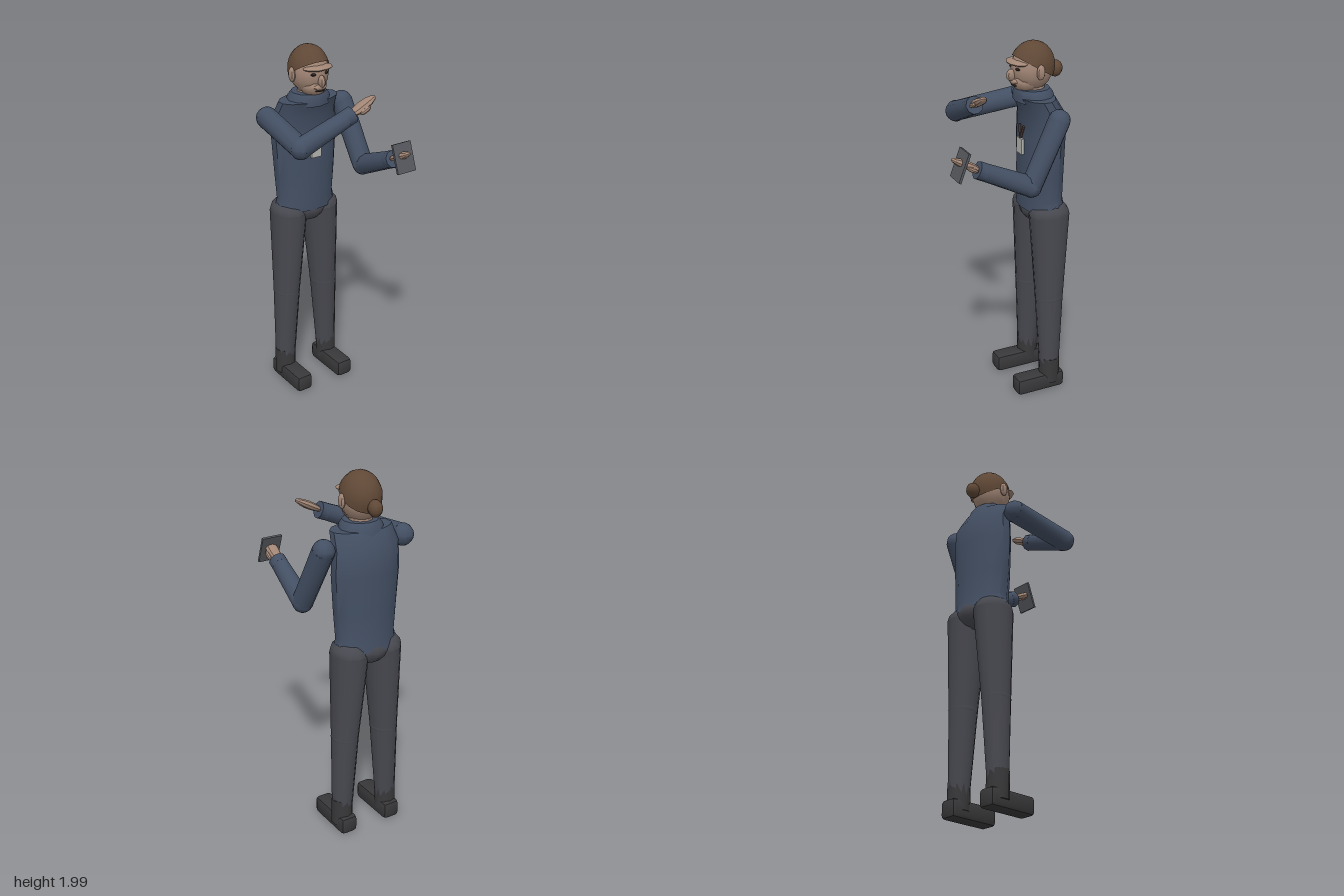
import * as THREE from 'three';
import { toCreasedNormals } from 'three/addons/utils/BufferGeometryUtils.js';
import { RoundedBoxGeometry } from 'three/addons/geometries/RoundedBoxGeometry.js';

const material = (color, opts = {}) => new THREE.MeshStandardMaterial({ color, ...opts });
const skin = material(0xa28676);
const hair = material(0x604836, { side: THREE.DoubleSide });
const shirt = material(0x434f63);
const trousers = material(0x484950);
const black = material(0x38383a);
const dark = material(0x2b2523);
const slate = material(0x55575c);
const paper = material(0xb4b4b0);
const strapRed = material(0x54423f);

const vec = (a) => new THREE.Vector3(...a);

function add(parent, name, geometry, mat, position = [0, 0, 0]) {
  const mesh = new THREE.Mesh(toCreasedNormals(geometry, 0.7), mat);
  mesh.name = name;
  mesh.position.set(...position);
  parent.add(mesh);
  return mesh;
}

// Ellipsoid with radii r
function blob(parent, name, mat, position, r, w = 12, h = 8) {
  return add(parent, name, new THREE.SphereGeometry(1, w, h).scale(...r), mat, position);
}

// Closed body through elliptical rings [y, rx, rz, cx, cz], listed from top to bottom
function loft(parent, name, mat, rings, sides = 14) {
  const geometry = new THREE.CylinderGeometry(1, 1, 1, sides, rings.length - 1);
  const p = geometry.attributes.position;
  for (let i = 0; i < p.count; i++) {
    const [y, rx, rz, cx, cz] = rings[Math.round((0.5 - p.getY(i)) * (rings.length - 1))];
    p.setXYZ(i, p.getX(i) * rx + cx, y, p.getZ(i) * rz + cz);
  }
  return add(parent, name, geometry, mat);
}

// Tapered cylinder from a (radius ra) to b (radius rb)
function limb(parent, name, mat, a, b, ra, rb, sides = 10) {
  const from = vec(a), to = vec(b), dir = to.clone().sub(from);
  const mesh = add(parent, name, new THREE.CylinderGeometry(rb, ra, dir.length(), sides), mat);
  mesh.position.copy(from).add(to).multiplyScalar(0.5);
  mesh.quaternion.setFromUnitVectors(new THREE.Vector3(0, 1, 0), dir.normalize());
  return mesh;
}

// Bent sleeve with a cuff
function sleeve(parent, side, shoulder, elbow, wrist) {
  const arm = new THREE.Group();
  arm.name = side + 'Arm';
  blob(arm, 'shoulder', shirt, shoulder, [0.059, 0.059, 0.059], 10);
  limb(arm, 'upperArm', shirt, shoulder, elbow, 0.059, 0.056);
  blob(arm, 'elbow', shirt, elbow, [0.057, 0.057, 0.057], 10);
  limb(arm, 'forearm', shirt, elbow, wrist, 0.056, 0.045);
  const cuffStart = vec(wrist).lerp(vec(elbow), 0.14).toArray();
  limb(arm, 'cuff', shirt, cuffStart, wrist, 0.047, 0.047);
  parent.add(arm);
  return arm;
}

// Mitten-like hand along its local y axis, with a thumb
function hand(parent, start, tip, size, thumbOffset) {
  const g = new THREE.Group();
  g.name = 'hand';
  const a = vec(start), dir = vec(tip).sub(a), len = dir.length();
  blob(g, 'palm', skin, [0, len / 2, 0], [size[0], len / 2, size[1]], 8, 6);
  blob(g, 'thumb', skin, thumbOffset, [0.013, 0.035, 0.013], 8, 6);
  g.position.copy(a);
  g.quaternion.setFromUnitVectors(new THREE.Vector3(0, 1, 0), dir.normalize());
  parent.add(g);
}

export function createModel() {
  const model = new THREE.Group();
  model.name = 'figure';

  // Torso, pelvis and collar
  loft(model, 'torso', shirt, [
    [1.715, 0.175, 0.098, 0, -0.19],
    [1.63, 0.188, 0.105, 0, -0.235],
    [1.5, 0.195, 0.109, 0, -0.236],
    [1.3, 0.181, 0.111, 0, -0.234],
    [1.15, 0.168, 0.112, 0, -0.235],
    [1.09, 0.185, 0.116, 0, -0.24],
  ]);
  blob(model, 'pelvis', trousers, [0, 1.08, -0.245], [0.135, 0.085, 0.118]);
  loft(model, 'collar', shirt, [
    [1.755, 0.095, 0.09, 0, -0.185],
    [1.735, 0.112, 0.102, 0, -0.188],
    [1.69, 0.125, 0.108, 0, -0.195],
  ], 12);
  loft(model, 'neck', skin, [[1.8, 0.06, 0.06, 0, -0.185], [1.7, 0.065, 0.065, 0, -0.19]], 10);

  // Legs and shoes
  for (const s of [1, -1]) {
    const leg = new THREE.Group();
    leg.name = s > 0 ? 'leftLeg' : 'rightLeg';
    blob(leg, 'hip', trousers, [s * 0.1, 1.07, -0.245], [0.1, 0.08, 0.114]);
    loft(leg, 'trouserLeg', trousers, [
      [1.07, 0.1, 0.113, s * 0.1, -0.245],
      [0.58, 0.073, 0.079, s * 0.124, -0.242],
      [0.12, 0.056, 0.054, s * 0.142, -0.243],
    ], 12);
    blob(leg, 'knee', trousers, [s * 0.124, 0.58, -0.242], [0.075, 0.07, 0.08]);
    loft(leg, 'bootShaft', black, [
      [0.2, 0.059, 0.057, s * 0.142, -0.243],
      [0.05, 0.06, 0.06, s * 0.142, -0.243],
    ], 10);
    add(leg, 'shoe', new RoundedBoxGeometry(0.1, 0.1, 0.29, 1, 0.022), black, [s * 0.139, 0.055, -0.177]);
    model.add(leg);
  }

  // Right arm raised across the chest, left arm holding a tablet
  const rightArm = sleeve(model, 'right', [-0.235, 1.637, -0.22], [-0.263, 1.59, 0.135], [0.035, 1.712, 0.155]);
  hand(rightArm, [0.015, 1.705, 0.155], [0.17, 1.785, 0.162], [0.022, 0.036], [0.01, 0.08, 0.034]);
  const leftArm = sleeve(model, 'left', [0.236, 1.637, -0.22], [0.262, 1.318, -0.055], [0.243, 1.45, 0.235]);
  hand(leftArm, [0.24, 1.445, 0.215], [0.233, 1.525, 0.37], [0.036, 0.022], [0.036, 0.06, 0.008]);
  const tablet = add(leftArm, 'tablet', new THREE.BoxGeometry(0.115, 0.155, 0.013), slate, [0.238, 1.487, 0.322]);
  tablet.rotation.x = -0.36;

  // Badge on a strap
  add(model, 'badge', new THREE.BoxGeometry(0.06, 0.085, 0.014), paper, [0, 1.443, -0.119]);
  for (const s of [1, -1]) {
    limb(model, 'badgeStrap', strapRed, [s * 0.024, 1.555, -0.126], [0, 1.482, -0.119], 0.007, 0.007, 6);
  }

  // Head
  const head = new THREE.Group();
  head.name = 'head';
  blob(head, 'skull', skin, [0, 1.862, -0.18], [0.1, 0.122, 0.112], 14, 10);
  blob(head, 'jaw', skin, [0, 1.795, -0.15], [0.072, 0.058, 0.082]);
  const cap = add(head, 'hairCap',
    new THREE.SphereGeometry(1, 14, 7, 0, Math.PI * 2, 0, Math.PI * 0.5).rotateX(-0.5).scale(0.107, 0.131, 0.121),
    hair, [0, 1.868, -0.183]);
  cap.geometry.computeBoundingSphere();
  blob(head, 'hairBun', hair, [0, 1.838, -0.315], [0.037, 0.044, 0.04], 10);

  // Face
  blob(head, 'brow', skin, [0, 1.897, -0.1], [0.087, 0.016, 0.057], 10, 6);
  blob(head, 'nose', skin, [0, 1.832, -0.064], [0.018, 0.032, 0.029], 8, 6);
  blob(head, 'upperLip', skin, [0, 1.797, -0.079], [0.04, 0.016, 0.02], 8, 6);
  blob(head, 'mouth', dark, [0, 1.779, -0.08], [0.03, 0.005, 0.015], 8, 6);
  for (const s of [1, -1]) {
    blob(head, 'eye', dark, [s * 0.036, 1.868, -0.084], [0.018, 0.008, 0.012], 8, 6);
    blob(head, 'ear', skin, [s * 0.105, 1.857, -0.18], [0.016, 0.04, 0.024], 8, 6);
  }
  model.add(head);

  return model;
}
